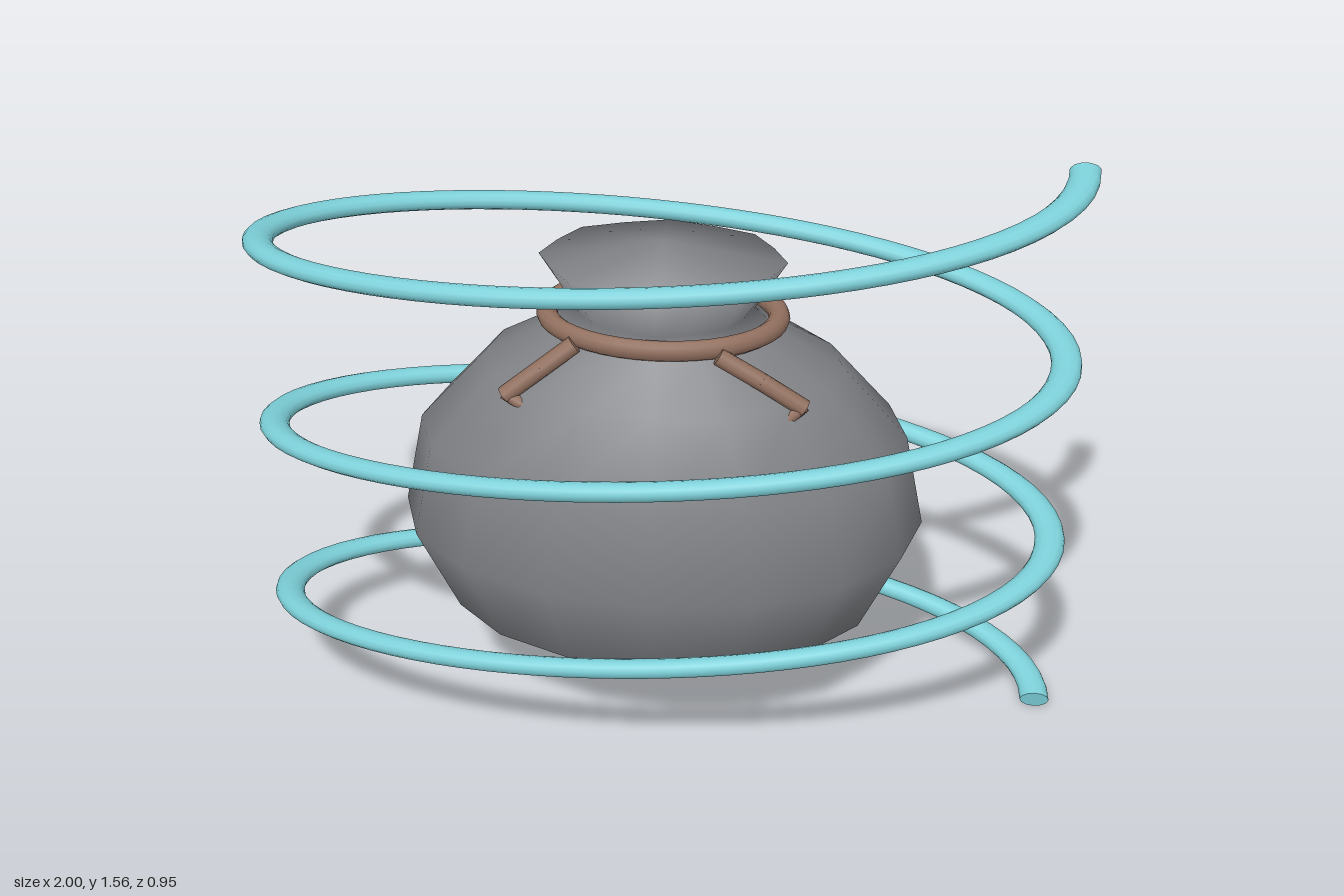
import * as THREE from 'three';

const mat = (name, color) => {
  const m = new THREE.MeshStandardMaterial({ color });
  m.name = name;
  return m;
};

// Elliptical lofted skin, closed at both ends; ring = [y, radiusX, radiusZ, pleatDepth]
function loft(rings, sides, bottomY, topY) {
  const pos = [], index = [];
  for (const [y, rx, rz, pleat] of rings) {
    for (let i = 0; i < sides; i++) {
      const a = (i / sides) * Math.PI * 2;
      const r = 1 - (i % 2) * pleat;
      pos.push(Math.cos(a) * rx * r, y, Math.sin(a) * rz * r);
    }
  }
  const bottom = pos.length / 3, top = bottom + 1;
  pos.push(0, bottomY, 0, 0, topY, 0);
  const last = (rings.length - 1) * sides;
  for (let i = 0; i < sides; i++) {
    const j = (i + 1) % sides;
    for (let r = 0; r < last; r += sides) {
      index.push(r + i, r + sides + i, r + j, r + j, r + sides + i, r + sides + j);
    }
    index.push(bottom, i, j, top, last + j, last + i);
  }
  const g = new THREE.BufferGeometry();
  g.setAttribute('position', new THREE.Float32BufferAttribute(pos, 3));
  g.setIndex(index);
  g.computeVertexNormals();
  return g;
}

// Three-turn spring, wound as an oval
class Helix extends THREE.Curve {
  getPoint(t, target = new THREE.Vector3()) {
    const a = t * Math.PI * 6;
    return target.set((0.963 / 1.55) * Math.cos(a), 0.03 + 1.517 * t, -0.452 * Math.sin(a));
  }
}

export function createModel() {
  const model = new THREE.Group();
  const cloth = mat('grey cloth', 0x808286);
  const rope = mat('brown rope', 0x92705f);
  const teal = mat('teal coil', 0x7dd0d9);
  const add = (name, geometry, material, parent = model) => {
    const mesh = new THREE.Mesh(geometry, material);
    mesh.name = name;
    parent.add(mesh);
    return mesh;
  };

  // Sack with a gathered neck and flared, pleated mouth
  add('sack', loft([
    [0.2, 0.29, 0.192, 0],
    [0.337, 0.54, 0.357, 0],
    [0.565, 0.645, 0.426, 0],
    [0.81, 0.597, 0.394, 0],
    [1.0, 0.435, 0.288, 0],
    [1.1, 0.275, 0.185, 0.02],
    [1.155, 0.22, 0.165, 0.04],
    [1.277, 0.295, 0.197, 0.05],
  ], 16, 0.187, 1.325), cloth);

  // Rope tied round the neck
  const ring = new THREE.TorusGeometry(0.278, 0.026, 10, 40);
  ring.rotateX(Math.PI / 2);
  ring.scale(1, 1, 0.645);
  ring.translate(0, 1.128, 0);
  add('neckRope', ring, rope);

  // Loose rope ends, each with a short hooked tip
  const tails = {
    leftRopeEnd: [[0.15, 1.115, 0.175], [0.25, 1.058, 0.182], [0.345, 0.998, 0.187], [0.315, 0.975, 0.2]],
    rightRopeEnd: [[-0.2, 1.115, 0.15], [-0.275, 1.06, 0.172], [-0.355, 0.998, 0.188], [-0.305, 0.972, 0.2]],
  };
  const up = new THREE.Vector3(0, 1, 0);
  for (const [name, points] of Object.entries(tails)) {
    const group = new THREE.Group();
    group.name = name;
    model.add(group);
    const p = points.map((q) => new THREE.Vector3(...q));
    for (let i = 0; i < p.length - 1; i++) {
      const dir = p[i + 1].clone().sub(p[i]);
      const r = i < 2 ? 0.022 : 0.016;
      const piece = add('ropePiece', new THREE.CylinderGeometry(r, r, dir.length() + 0.012, 8), rope, group);
      piece.position.copy(p[i]).addScaledVector(dir, 0.5);
      piece.quaternion.setFromUnitVectors(up, dir.normalize());
    }
  }

  // Coil around the sack, with flat end caps
  const spring = new THREE.Group();
  spring.name = 'spring';
  spring.scale.x = 1.55;
  model.add(spring);
  const path = new Helix();
  const radius = 0.024;
  add('coil', new THREE.TubeGeometry(path, 240, radius, 12), teal, spring);
  for (const t of [0, 1]) {
    const cap = add('coilEnd', new THREE.CircleGeometry(radius, 12), teal, spring);
    const dir = path.getTangent(t).multiplyScalar(t ? 1 : -1);
    cap.position.copy(path.getPoint(t));
    cap.quaternion.setFromUnitVectors(new THREE.Vector3(0, 0, 1), dir);
  }
  return model;
}
